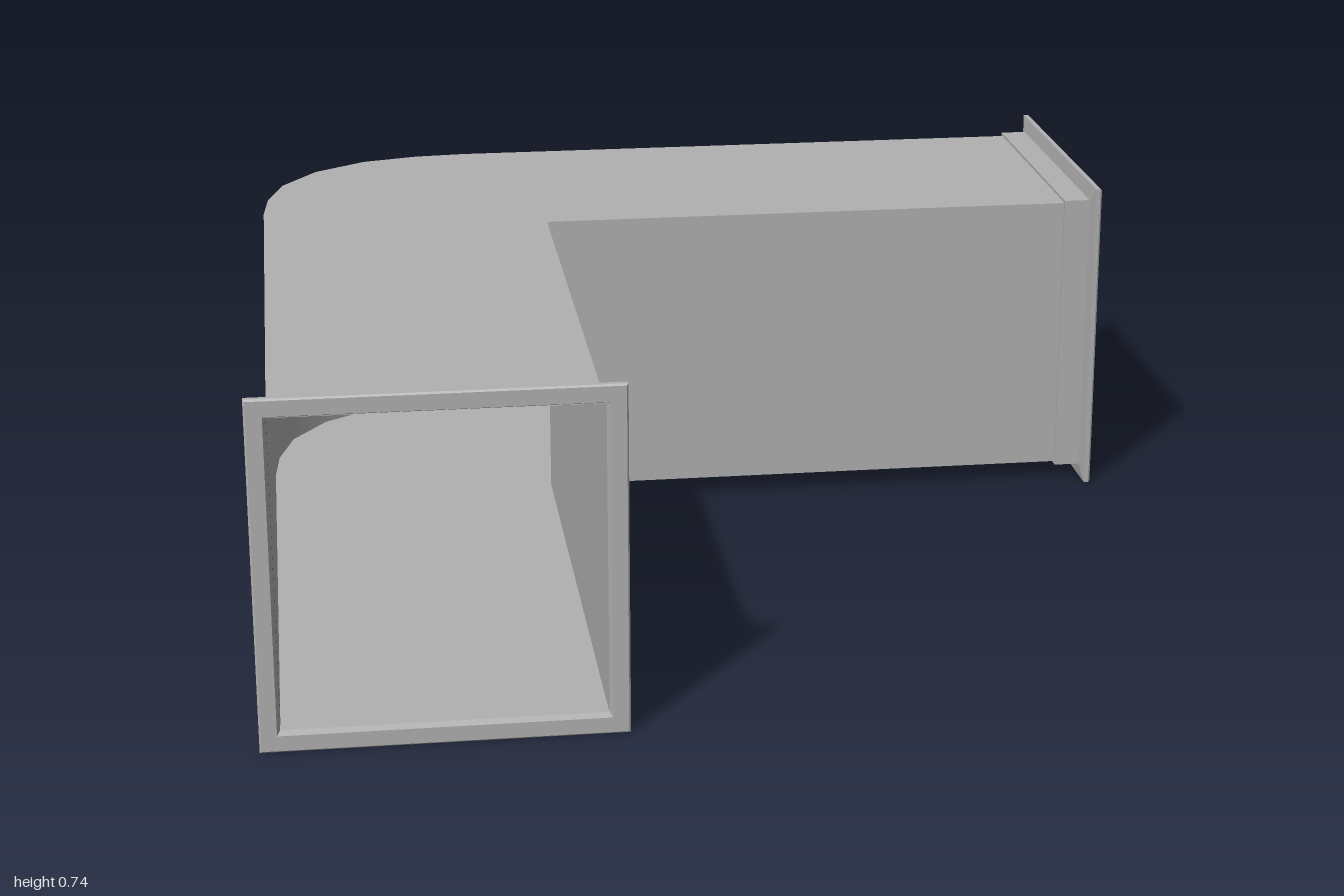
import * as THREE from 'three';

const MID = 0.3675; // centre height of the duct
const HALF = 0.325; // half width of the duct
const CENTRE = -0.632; // centre line of both arms
const END = 0.985;

export function createModel() {
  const group = new THREE.Group();
  const metal = new THREE.MeshStandardMaterial({ color: 0xb0b0b0, side: THREE.DoubleSide });
  metal.name = 'galvanised grey';

  const add = (geometry, name) => {
    const mesh = new THREE.Mesh(geometry, metal);
    mesh.name = name;
    group.add(mesh);
    return mesh;
  };

  const outer = CENTRE - HALF, inner = CENTRE + HALF;
  const y0 = MID - HALF, y1 = MID + HALF;

  // Outer bend, from the front arm round to the side arm
  const bend = [[outer, -0.46], [-0.947, -0.58], [-0.912, -0.71], [-0.83, -0.83],
    [-0.71, -0.912], [-0.58, -0.947], [-0.46, outer]];
  const outerPath = [[outer, END], ...bend, [END, outer]];

  // Upright sheet following a path; normals are given per path point
  const sheet = (path, normals, name) => {
    const pos = [], nor = [], idx = [];
    path.forEach(([x, z], i) => {
      const [nx, nz] = normals[i];
      pos.push(x, y0, z, x, y1, z);
      nor.push(nx, 0, nz, nx, 0, nz);
      if (i < path.length - 1) {
        const a = 2 * i;
        idx.push(a, a + 1, a + 2, a + 1, a + 3, a + 2);
      }
    });
    const g = new THREE.BufferGeometry();
    g.setAttribute('position', new THREE.Float32BufferAttribute(pos, 3));
    g.setAttribute('normal', new THREE.Float32BufferAttribute(nor, 3));
    // Wind the faces to agree with the normals
    const [ax, az] = path[0], [bx, bz] = path[1];
    const facing = (az - bz) * -normals[0][0] + (bx - ax) * -normals[0][1];
    g.setIndex(facing > 0 ? idx : idx.reverse());
    add(g, name);
  };

  // Smooth outer wall, sharp inner corner
  const last = bend.length - 1;
  const bendNormals = bend.map((_, i) => {
    const t = (i / last) * Math.PI / 2;
    return [-Math.cos(t), -Math.sin(t)];
  });
  sheet(outerPath, [[-1, 0], ...bendNormals, [0, -1]], 'outerWall');
  sheet([[inner, END], [inner, inner]], [[1, 0], [1, 0]], 'innerWallFront');
  sheet([[inner, inner], [END, inner]], [[0, 1], [0, 1]], 'innerWallSide');

  // Top and bottom sheets, drawn in x and -z
  const outline = [...outerPath, [END, inner], [inner, inner], [inner, END]];
  const plan = new THREE.Shape(outline.map(([x, z]) => new THREE.Vector2(x, -z)));
  add(new THREE.ShapeGeometry(plan).rotateX(-Math.PI / 2).translate(0, y1, 0), 'topSheet');
  const underside = new THREE.Shape(outline.map(([x, z]) => new THREE.Vector2(x, z)));
  add(new THREE.ShapeGeometry(underside).rotateX(Math.PI / 2).translate(0, y0, 0), 'bottomSheet');

  // Square collar and flange: a four-sided lathe of half width against depth
  const profile = [[0.326, 0.92], [0.332, 0.92], [0.332, 0.98], [0.3675, 0.985],
    [0.3675, 0.996], [0.364, 1], [0.332, 1], [0.326, 0.985], [0.326, 0.92]];
  const flangeGeometry = new THREE.LatheGeometry(
    profile.map(([r, d]) => new THREE.Vector2(r * Math.SQRT2, d)), 4, Math.PI / 4
  ).rotateX(Math.PI / 2).toNonIndexed();
  flangeGeometry.computeVertexNormals();

  add(flangeGeometry, 'frontFlange').position.set(CENTRE, MID, 0);
  const side = add(flangeGeometry, 'sideFlange');
  side.rotation.y = Math.PI / 2;
  side.position.set(0, MID, CENTRE);

  return group;
}
